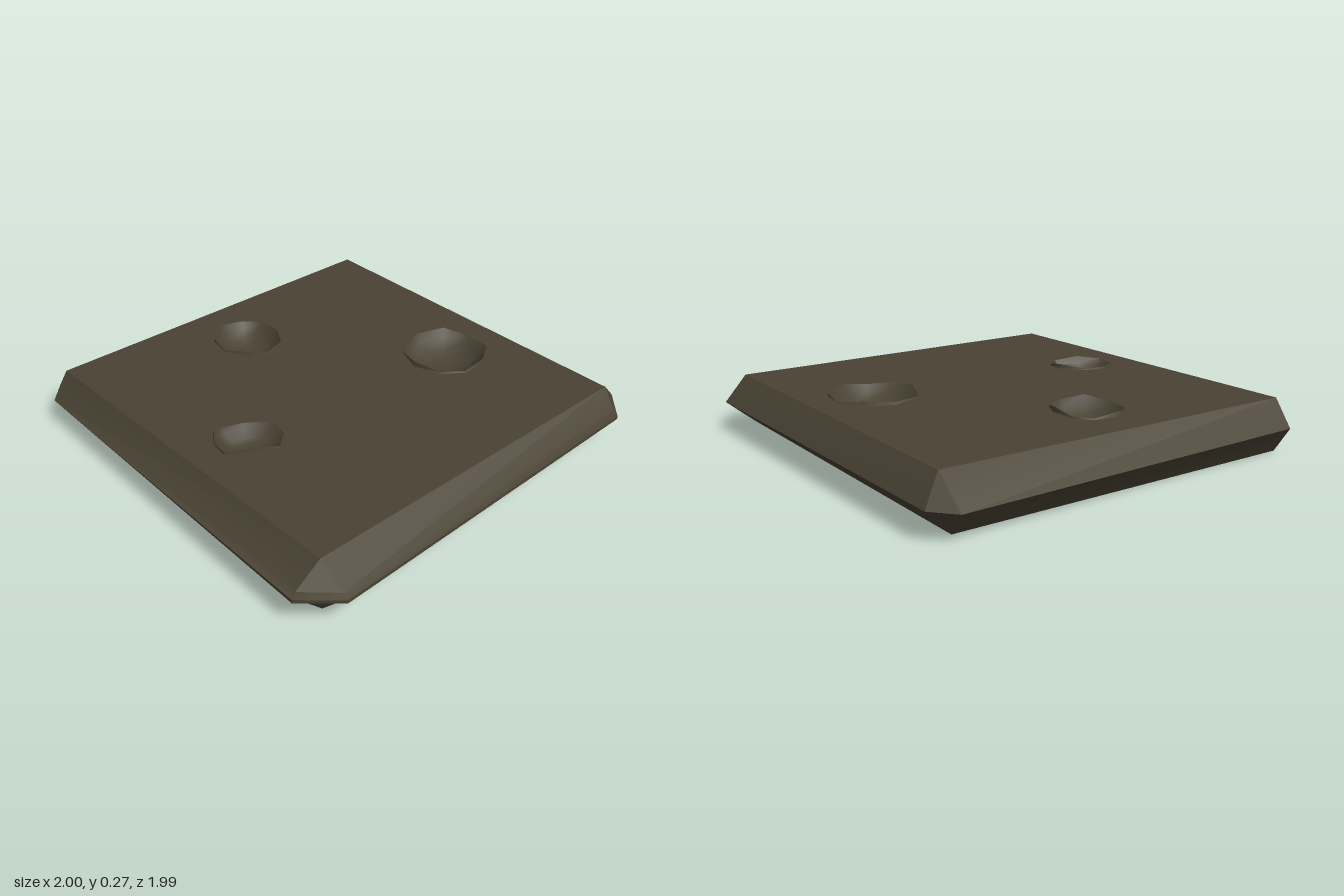
import * as THREE from 'three';
import { toCreasedNormals } from 'three/addons/utils/BufferGeometryUtils.js';

const stone = new THREE.MeshStandardMaterial({ color: 0x4a4334 });
const TOP = 0.25;

// Skins closed rings (clockwise from above, ordered bottom to top or rim to centre)
function loft(rings, crease) {
  const pos = [];
  const tri = (a, b, c) => {
    if (a.distanceTo(b) > 1e-5 && b.distanceTo(c) > 1e-5 && c.distanceTo(a) > 1e-5) {
      for (const p of [a, b, c]) pos.push(p.x, p.y, p.z);
    }
  };
  for (let r = 0; r < rings.length - 1; r++) {
    const lo = rings[r], hi = rings[r + 1], n = lo.length;
    for (let i = 0; i < n; i++) {
      const j = (i + 1) % n;
      tri(lo[i], hi[i], lo[j]);
      tri(lo[j], hi[i], hi[j]);
    }
  }
  const geo = new THREE.BufferGeometry();
  geo.setAttribute('position', new THREE.Float32BufferAttribute(pos, 3));
  return toCreasedNormals(geo, crease);
}

// Outlines as [x, z]
const topCorners = [[-0.85, -0.88], [0.88, -0.88], [0.85, 0.84], [-0.9, 0.87]];
const bottomCorners = [[-0.87, -0.84], [0.86, -0.85], [0.87, 0.85], [-0.9, 0.88]];
const waist = [[-1, -0.88], [-0.9, -0.97], [0.85, -1], [0.98, -0.86],
  [1, 0.84], [0.86, 0.99], [-0.89, 0.96], [-0.99, 0.87]];

const craterOutlines = {
  backCrater: [[-0.02, -0.57], [0.04, -0.7], [0.16, -0.76], [0.29, -0.74], [0.37, -0.62],
    [0.37, -0.5], [0.3, -0.4], [0.17, -0.36], [0.04, -0.41]],
  rightCrater: [[-0.72, 0.11], [-0.7, -0.02], [-0.63, -0.08], [-0.5, -0.08], [-0.42, -0.04],
    [-0.38, 0.07], [-0.42, 0.16], [-0.54, 0.22], [-0.65, 0.2]],
  frontCrater: [[-0.04, 0.62], [-0.01, 0.52], [0.09, 0.43], [0.17, 0.44], [0.23, 0.51],
    [0.18, 0.62], [0.11, 0.72], [0.03, 0.71], [-0.03, 0.67]],
};

function slabSides() {
  const doubled = (corners, y) => corners.flatMap(([x, z]) =>
    [0, 1].map(() => new THREE.Vector3(x, y(x), z)));
  // The front and +x edges carry a thin lip; the others come to a plain ridge
  const ring = (dy, inset) => waist.map(([x, z], i) => {
    const lip = i >= 3 && i <= 5 ? 1 : 0;
    return new THREE.Vector3(
      x - inset * lip * (x > 0.9 ? 1 : 0.5),
      0.133 + 0.006 * x + dy * lip,
      z - inset * lip * (z > 0.9 ? 1 : 0.3));
  });
  const bottom = doubled(bottomCorners, (x) => 0.007 + 0.008 * x);
  const centre = bottom.map(() => new THREE.Vector3(0, 0.007, 0));
  return loft([centre, bottom, ring(-0.018, 0.03), ring(-0.008, 0), ring(0.008, 0),
    ring(0.018, 0.03), doubled(topCorners, () => TOP)], 0.45);
}

// Flat top with openings for the craters
function slabTop() {
  const points = (outline) => outline.map(([x, z]) => new THREE.Vector2(x, -z));
  const shape = new THREE.Shape(points(topCorners));
  for (const o of Object.values(craterOutlines)) shape.holes.push(new THREE.Path(points(o)));
  return new THREE.ShapeGeometry(shape).rotateX(-Math.PI / 2).translate(0, TOP, 0);
}

// Shallow bowl with an uneven raised rim
function crater(outline, depth, seed) {
  const n = outline.length;
  const cx = outline.reduce((s, p) => s + p[0], 0) / n;
  const cz = outline.reduce((s, p) => s + p[1], 0) / n;
  const ring = (t, height) => outline.map(([x, z], i) =>
    new THREE.Vector3(cx + (x - cx) * t, TOP + height(i), cz + (z - cz) * t));
  const chip = (i) => 0.012 + 0.011 * Math.sin(i * 2.1 + seed);
  return loft([
    ring(1, () => 0),
    ring(0.98, chip),
    ring(0.85, (i) => -0.3 * depth + 0.3 * chip(i)),
    ring(0.6, () => -0.75 * depth),
    ring(0.3, () => -0.95 * depth),
    ring(0, () => -depth),
  ], 0.9);
}

export function createModel() {
  const model = new THREE.Group();
  const add = (name, geo) => {
    const mesh = new THREE.Mesh(geo, stone);
    mesh.name = name;
    model.add(mesh);
  };
  add('slabSides', slabSides());
  add('slabTop', slabTop());
  Object.entries(craterOutlines).forEach(([name, outline], i) =>
    add(name, crater(outline, [0.08, 0.075, 0.06][i], i * 1.7)));
  return model;
}
